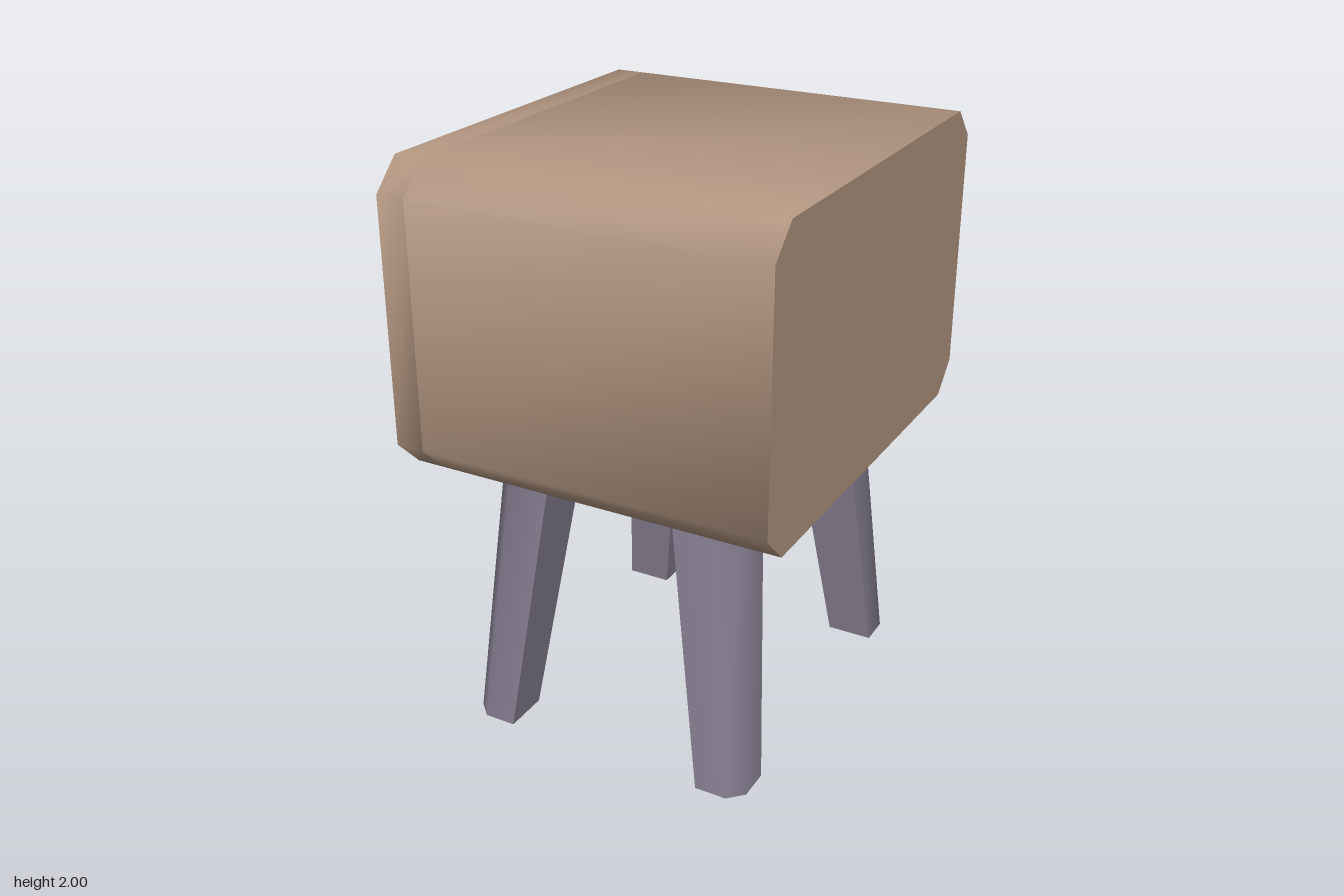
import * as THREE from 'three';
import { toCreasedNormals } from 'three/addons/utils/BufferGeometryUtils.js';

const CREASE = THREE.MathUtils.degToRad(50);

const material = (name, color) => {
  const m = new THREE.MeshStandardMaterial({ color });
  m.name = name;
  return m;
};

// Closed solid through convex rings, each counter-clockwise seen from the last ring's end
function loft(rings) {
  const n = rings[0].length;
  const position = rings.flat(2);
  const index = [];
  for (let r = 0; r < rings.length - 1; r++) {
    for (let i = 0; i < n; i++) {
      const a = r * n + i, b = r * n + (i + 1) % n;
      index.push(a, b, b + n, a, b + n, a + n);
    }
  }
  const last = (rings.length - 1) * n;
  for (let i = 1; i < n - 1; i++) {
    index.push(0, i + 1, i, last, last + i, last + i + 1);
  }
  const g = new THREE.BufferGeometry();
  g.setAttribute('position', new THREE.Float32BufferAttribute(position, 3));
  g.setIndex(index);
  return toCreasedNormals(g, CREASE);
}

const polygon = (points) => new THREE.Shape(points.map(([x, y]) => new THREE.Vector2(x, y)));

const extrude = (shape, depth) =>
  new THREE.ExtrudeGeometry(shape, { depth, bevelEnabled: false });

// Side profile of the cabinet (z, y) with cut corners
function cabinetProfile() {
  const w = 0.76, c = 0.1, b = 0.97, t = 2;
  return polygon([
    [-w + c, b], [w - c, b], [w, b + c], [w, t - c],
    [w - c, t], [-w + c, t], [-w, t - c], [-w, b + c],
  ]);
}

export function createModel() {
  const wood = material('tan wood', 0xb0947f);
  const trim = material('grey violet', 0x837c8f);
  const panel = material('pale drawer', 0xc4bcae);
  const model = new THREE.Group();
  model.name = 'nightstand';

  const add = (name, geometry, mat) => {
    const mesh = new THREE.Mesh(geometry, mat);
    mesh.name = name;
    model.add(mesh);
    return mesh;
  };

  // Cabinet: solid rear part and a front frame around the drawer opening
  const openZ = 0.605, openBottom = 1.122, openTop = 1.85;
  const frontX = -0.61, backX = 0.705, frameDepth = 0.1;
  const frameShape = cabinetProfile();
  frameShape.holes.push(new THREE.Path([
    [-openZ, openBottom], [-openZ, openTop], [openZ, openTop], [openZ, openBottom],
  ].map(([z, y]) => new THREE.Vector2(z, y))));
  const slab = (shape, startX, depth) =>
    toCreasedNormals(extrude(shape, depth).rotateY(-Math.PI / 2).translate(startX, 0, 0), CREASE);
  add('cabinetBody', slab(cabinetProfile(), backX, backX - frontX - frameDepth), wood);
  add('cabinetFrame', slab(frameShape, frontX + frameDepth, frameDepth), wood);

  // Two drawer fronts with shallow bevels, each with a handle
  const drawerHeight = (openTop - openBottom) / 2;
  const handleShape = polygon([
    [-0.58, -0.215], [-0.58, 0.215], [-0.655, 0.215],
    [-0.71, 0.16], [-0.71, -0.16], [-0.655, -0.215],
  ]);
  ['lower', 'upper'].forEach((level, i) => {
    const y = openBottom + drawerHeight * (i + 0.5);
    const ring = (x, inset) => {
      const z = openZ - inset, h = drawerHeight / 2 - inset;
      return [[x, y - h, -z], [x, y - h, z], [x, y + h, z], [x, y + h, -z]];
    };
    add(level + 'Drawer', loft([ring(-0.505, 0), ring(-0.56, 0), ring(-0.592, 0.075)]), panel);
    const handle = extrude(handleShape, 0.12).rotateX(-Math.PI / 2).translate(0, y - 0.06, 0);
    add(level + 'Handle', toCreasedNormals(handle, CREASE), trim);
  });

  // Four splayed, tapered legs with the outer corner cut
  for (const sx of [-1, 1]) {
    for (const sz of [-1, 1]) {
      const ring = (y, cx, cz, h, c) => {
        const points = [[h, h - c], [h, -h], [-h, -h], [-h, h], [h - c, h]]
          .map(([x, z]) => [0.05 + sx * (cx + x), y, sz * (cz + z)]);
        return sx * sz < 0 ? points.reverse() : points;
      };
      const name = (sz > 0 ? 'front' : 'back') + (sx > 0 ? 'Left' : 'Right') + 'Leg';
      add(name, loft([ring(0, 0.44, 0.55, 0.081, 0.05), ring(0.975, 0.33, 0.44, 0.108, 0.066)]), trim);
    }
  }
  return model;
}
